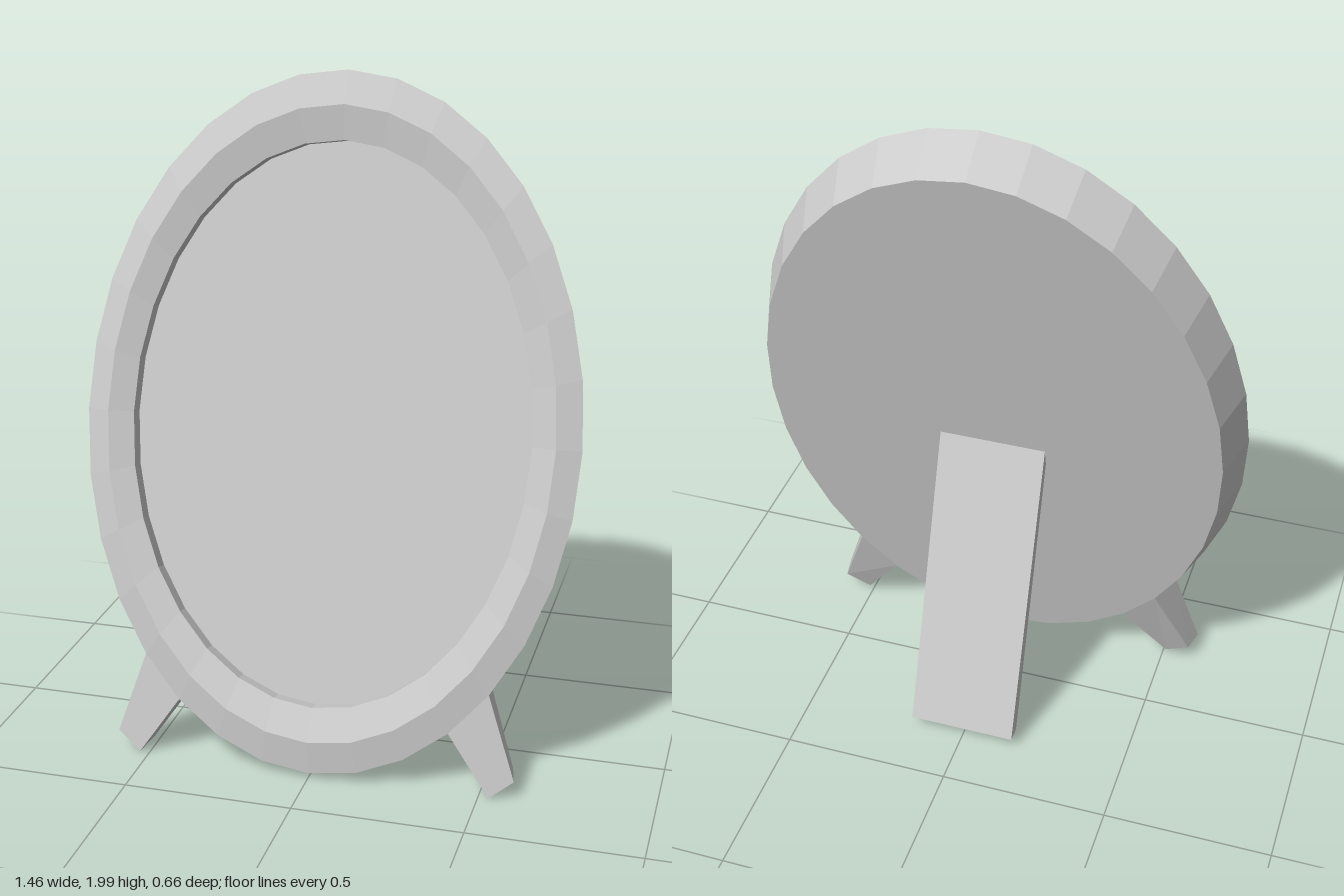
import * as THREE from 'three';

const RX = 0.73, RY = 1.013;   // half axes of the oval
const SIDES = 32;
const DEPTH = 0.132;           // frame depth behind its widest ring
const BACK = 0.938;            // scale of the back ring
const INNER = 0.807;           // scale of the opening

const material = new THREE.MeshStandardMaterial({ color: 0xcccccc, flatShading: true });

function part(name, geometry) {
  geometry.computeVertexNormals();
  const mesh = new THREE.Mesh(geometry, material);
  mesh.name = name;
  return mesh;
}

// Flat oval plate at depth z, facing front or back
function oval(name, scale, z, facingBack) {
  const g = new THREE.CircleGeometry(scale, SIDES);
  if (facingBack) g.rotateY(Math.PI);
  g.scale(RX, RY, 1).translate(0, 0, z);
  return part(name, g);
}

// Point on the oval's outline, measured from its lowest point
function rimPoint(step, scale, z) {
  const a = (step / SIDES) * Math.PI * 2;
  return [RX * scale * Math.sin(a), -RY * scale * Math.cos(a), z];
}

// Tapered foot growing out of one facet of the rim
function foot(name, side) {
  const corners = {
    outerTopFront: rimPoint(4, 1, 0),
    outerTopBack: rimPoint(4, BACK, -DEPTH),
    innerTopFront: rimPoint(3, 1, 0),
    innerTopBack: rimPoint(3, BACK, -DEPTH),
    outerBottomFront: [0.6, -0.967, -0.03],
    outerBottomBack: [0.585, -0.948, -0.1],
    innerBottomFront: [0.53, -1.024, -0.028],
    innerBottomBack: [0.51, -0.993, -0.095],
  };
  const g = new THREE.BoxGeometry(2, 2, 2);
  const p = g.attributes.position;
  for (let i = 0; i < p.count; i++) {
    const key = (p.getX(i) * side > 0 ? 'outer' : 'inner')
      + (p.getY(i) > 0 ? 'Top' : 'Bottom')
      + (p.getZ(i) > 0 ? 'Front' : 'Back');
    const [x, y, z] = corners[key];
    p.setXYZ(i, x * side, y, z);
  }
  return part(name, g);
}

export function createModel() {
  const model = new THREE.Group();
  model.name = 'standingOvalFrame';

  // Leaning frame with panel and feet
  const body = new THREE.Group();
  body.name = 'leaningBody';
  body.position.set(0, 1.0125, 0.1);
  body.rotation.x = -0.224;
  model.add(body);

  // Rim: outer side, bevelled front ridge, inner wall
  const profile = [
    [BACK, -DEPTH], [1, 0], [0.904, 0.026], [INNER, 0], [INNER, -0.046],
  ].map(([r, z]) => new THREE.Vector2(r, z));
  const rim = new THREE.LatheGeometry(profile, SIDES);
  rim.rotateX(Math.PI / 2).scale(RX, RY, 1);
  body.add(part('rim', rim));

  body.add(oval('frontPanel', INNER, -0.046, false));
  body.add(oval('backPanel', BACK, -DEPTH, true));
  body.add(foot('leftFoot', 1), foot('rightFoot', -1));

  // Rear prop: side outline in (z, y), extruded across the width
  const outline = new THREE.Shape([
    [-0.003, 0.87], [-0.278, 0.045], [-0.328, 0.045], [-0.014, 0.93],
  ].map(([z, y]) => new THREE.Vector2(-z, y)));
  const prop = new THREE.ExtrudeGeometry(outline, { depth: 0.32, bevelEnabled: false });
  prop.translate(0, 0, -0.16).rotateY(Math.PI / 2);
  model.add(part('rearProp', prop));

  return model;
}
